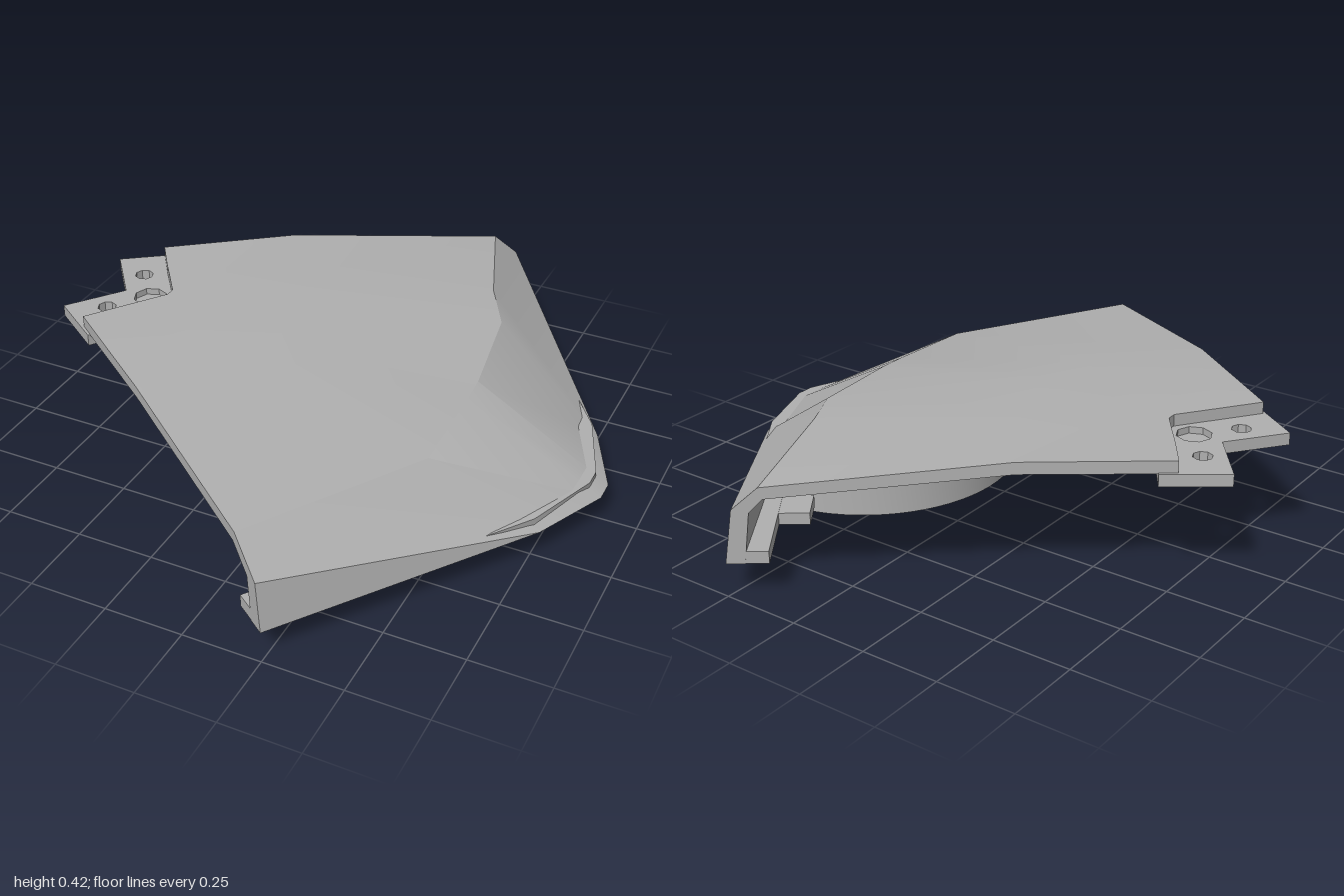
import * as THREE from 'three';
import { toCreasedNormals } from 'three/addons/utils/BufferGeometryUtils.js';

const grey = new THREE.MeshStandardMaterial({ color: 0xb0b0b0 });
grey.name = 'plain grey';

const APEX = -1.134; // the two straight sides converge here on the x axis

// Extrudes a plan outline ([x, z] points) upward from y0 to y1
function slab(name, outline, y0, y1, holes = [], curveSegments = 4) {
  const shape = new THREE.Shape(outline.map(([x, z]) => new THREE.Vector2(x, -z)));
  for (const [x, z, r] of holes) {
    shape.holes.push(new THREE.Path().absarc(x, -z, r, 0, Math.PI * 2, true));
  }
  const g = new THREE.ExtrudeGeometry(shape, { depth: y1 - y0, bevelEnabled: false, curveSegments });
  g.rotateX(-Math.PI / 2).translate(0, y0, 0);
  const mesh = new THREE.Mesh(toCreasedNormals(g, 0.5), grey);
  mesh.name = name;
  return mesh;
}

function arc(cx, r, a0, a1, n) {
  return Array.from({ length: n + 1 }, (_, i) => {
    const a = a0 + ((a1 - a0) * i) / n;
    return [cx + r * Math.cos(a), r * Math.sin(a)];
  });
}

// Thin curved cover, lofted from radial sections running step -> break -> ridge -> shoulder -> rim
function buildShell() {
  const tip = (z) => [0.89, 0.105, z];
  const knee = (s) => [0.78, 0.105, 0.27 * s];
  const sections = [
    [[-0.77, 0.42, 0.25], [-0.41, 0.42, 0.52], [0.13, 0.345, 0.91], [0.23, 0.26, 0.985], [0.25, 0.105, 1]],
    [[-0.68, 0.42, 0.125], [-0.2, 0.42, 0.22], [0.46, 0.33, 0.36], knee(1), knee(1)],
    [[-0.6, 0.42, 0.015], [-0.15, 0.42, 0.03], [0.455, 0.342, 0.05], tip(0.035), tip(0.035)],
    [[-0.6, 0.42, -0.015], [-0.15, 0.42, -0.03], [0.45, 0.345, -0.05], tip(-0.035), tip(-0.035)],
    [[-0.67, 0.42, -0.11], [-0.2, 0.42, -0.2], [0.4, 0.36, -0.38], knee(-1), knee(-1)],
    [[-0.7, 0.42, -0.15], [-0.26, 0.42, -0.3], [0.31, 0.372, -0.54], knee(-1), knee(-1)],
    [[-0.77, 0.42, -0.25], [-0.41, 0.42, -0.52], [0.165, 0.345, -0.94], [0.23, 0.275, -0.985], [0.25, 0.105, -1]],
  ];
  const inset = [0, 0, 0.01, 0.04, 0.045];
  const drop = [0.04, 0.038, 0.036, 0.01, 0];
  const inner = ([x, y, z], i) => {
    const low = i > 2 && x > 0.5;
    const dx = low ? 0.09 : inset[i];
    return [x - dx, y - (low ? 0 : drop[i]), z - (dx * z) / (x - APEX)];
  };
  const loops = sections.map((s) => [...s, ...s.map(inner).reverse()]);

  const pos = [];
  const tri = (...pts) => {
    const [a, b, c] = pts.map((p) => new THREE.Vector3(...p));
    if (b.sub(a).cross(c.sub(a)).length() > 1e-7) pts.forEach((p) => pos.push(...p));
  };
  const quad = (a, b, c, d) => { tri(a, b, c); tri(a, c, d); };

  for (let j = 0; j < loops.length - 1; j++) {
    const p = loops[j], q = loops[j + 1];
    for (let i = 0; i < 10; i++) {
      const k = (i + 1) % 10;
      quad(p[i], p[k], q[k], q[i]);
    }
  }
  // straight cut edges
  const first = loops[0], last = loops[loops.length - 1];
  for (let i = 0; i < 4; i++) {
    quad(first[i], first[9 - i], first[8 - i], first[i + 1]);
    quad(last[i], last[i + 1], last[8 - i], last[9 - i]);
  }
  const g = new THREE.BufferGeometry();
  g.setAttribute('position', new THREE.Float32BufferAttribute(pos, 3));
  const mesh = new THREE.Mesh(toCreasedNormals(g, 0.4), grey);
  mesh.name = 'coverShell';
  return mesh;
}

export function createModel() {
  const model = new THREE.Group();
  model.name = 'cover';
  model.add(buildShell());

  // Chevron mounting tab with two through holes and a blind recess
  const chevron = [[-0.9, 0.17], [-0.73, 0.29], [-0.53, 0], [-0.73, -0.29], [-0.9, -0.17], [-0.77, 0]];
  const bolts = [[-0.77, 0.115, 0.03], [-0.77, -0.115, 0.03]];
  model.add(slab('mountingTabLower', chevron, 0.345, 0.362, bolts));
  model.add(slab('mountingTabUpper', chevron, 0.362, 0.383, [...bolts, [-0.677, 0, 0.054]]));

  // Floor behind the rim, ending in the curve of the ring
  const cx = 0.545, R = 0.485, a0 = Math.atan2(0.48, -0.065), a1 = Math.PI * 2 - a0;
  const curve = arc(cx, R, a0, a1, 32);
  model.add(slab('rimFloor', [
    [0.85, -0.03], [0.85, 0.03], [0.76, 0.265], [0.235, 0.988], [0.15, 0.927],
    ...curve,
    [0.15, -0.927], [0.235, -0.988], [0.76, -0.265],
  ], 0.106, 0.145));

  // Half ring hanging below the floor
  model.add(slab('halfRing', [...curve, ...arc(cx, R - 0.04, a1, a0, 32)], 0, 0.12));

  for (const s of [1, -1]) {
    const side = s > 0 ? 'left' : 'right';
    // thickened ring end
    model.add(slab(side + 'RingEnd', [
      [0.478, 0.48 * s], [0.455, 0.4 * s], [0.43, 0.41 * s], [0.44, 0.475 * s],
    ], 0, 0.12));
    // small lug on the inner edge of the floor
    const lug = new THREE.Mesh(new THREE.BoxGeometry(0.1, 0.038, 0.12), grey);
    lug.name = side + 'Lug';
    lug.position.set(0.29, 0.125, 0.665 * s);
    lug.rotation.y = -s * 0.628;
    model.add(lug);
  }
  return model;
}
